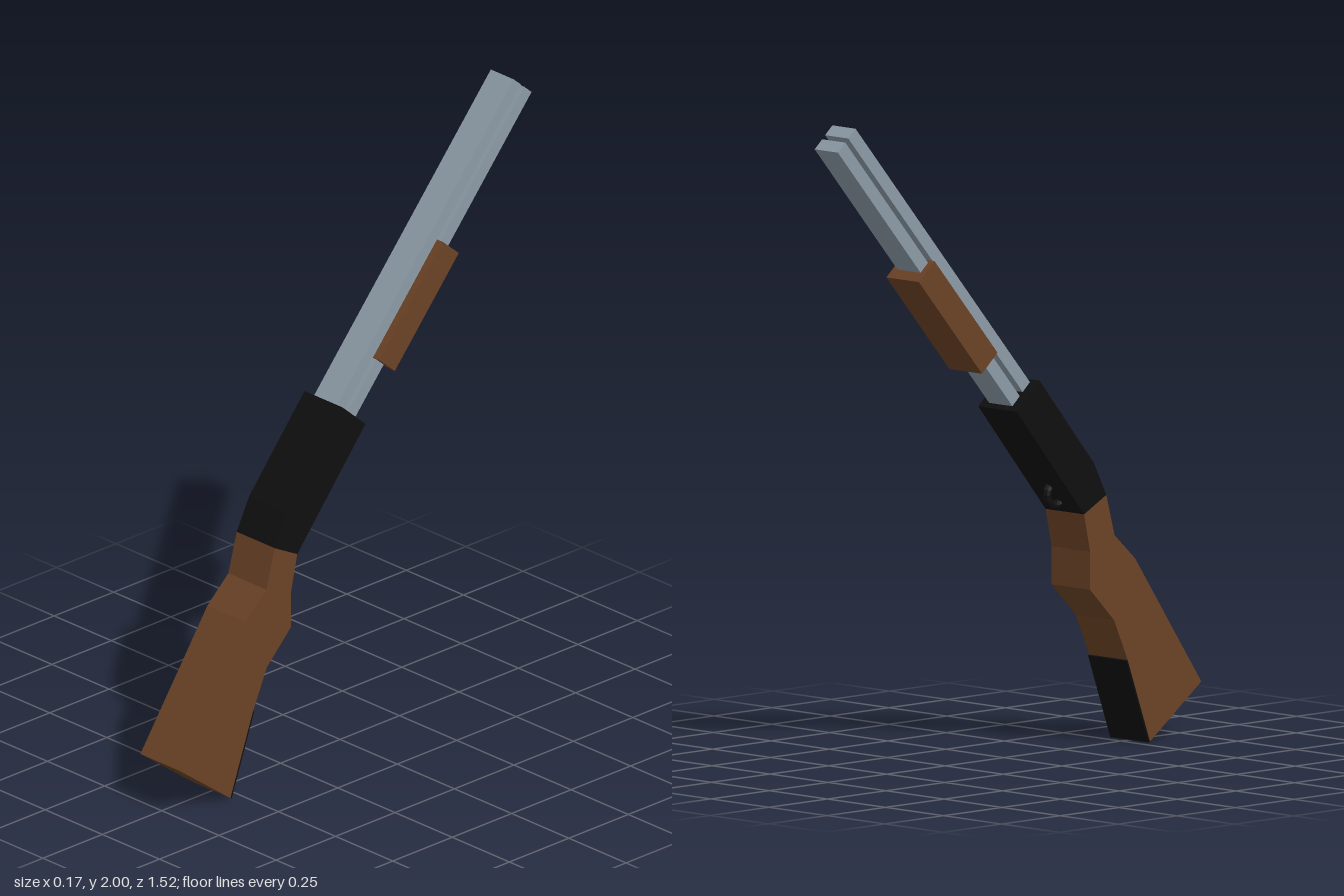
import * as THREE from 'three';

const walnut = new THREE.MeshStandardMaterial({ color: 0x6b4226, name: 'walnut', flatShading: true });
const steel = new THREE.MeshStandardMaterial({ color: 0x8c9aa6, name: 'steel', flatShading: true });
const black = new THREE.MeshStandardMaterial({ color: 0x0f0f0f, name: 'black', flatShading: true });

// Extrudes a side profile of [z, y] points across x, centred on x = 0.
function slab(name, points, width, material) {
  const shape = new THREE.Shape(points.map(([z, y]) => new THREE.Vector2(z, y)));
  const geometry = new THREE.ExtrudeGeometry(shape, { depth: width, bevelEnabled: false });
  geometry.translate(0, 0, -width / 2).rotateY(-Math.PI / 2);
  const mesh = new THREE.Mesh(geometry, material);
  mesh.name = name;
  return mesh;
}

// Side profile of a straight bar parallel to the barrels. Distances run back
// from the muzzle (along) and down from the top edge (below).
const muzzle = [-0.682, 2];
const axis = [0.658, -0.753];
const down = [-0.753, -0.658];
function bar(name, along, below, width, material) {
  const at = (a, b) => [0, 1].map((i) => muzzle[i] + axis[i] * a + down[i] * b);
  const [a0, a1] = along;
  const [b0, b1] = below;
  return slab(name, [at(a0, b0), at(a1, b0), at(a1, b1), at(a0, b1)], width, material);
}

export function createModel() {
  const group = new THREE.Group();
  group.name = 'shotgun';

  // Stock with a bent grip
  group.add(slab('stock', [
    [0.76, 0.165], [0.541, 0.003], [0.446, 0.262], [0.388, 0.39], [0.286, 0.493],
    [0.286, 0.61], [0.26, 0.727], [0.355, 0.777], [0.39, 0.65], [0.478, 0.57],
  ], 0.166, walnut));

  // Dark plate under the toe of the stock
  group.add(slab('toePlate', [
    [0.541, 0.003], [0.446, 0.262], [0.441, 0.26], [0.536, 0],
  ], 0.166, black));

  // Receiver
  group.add(slab('receiver', [
    [0.355, 0.777], [0.26, 0.727], [-0.027, 1.07], [0.07, 1.156], [0.302, 0.88],
  ], 0.166, black));

  // Trigger guard ring
  const guard = new THREE.Mesh(new THREE.TorusGeometry(0.034, 0.014, 8, 16), black);
  guard.name = 'triggerGuard';
  guard.rotation.y = Math.PI / 2;
  guard.position.set(0, 0.785, 0.217);
  group.add(guard);

  // Barrel, magazine tube below it, and sliding fore-end
  group.add(bar('barrel', [0, 1.16], [0, 0.041], 0.1, steel));
  group.add(bar('magazineTube', [0, 1.16], [0.058, 0.1], 0.1, steel));
  group.add(bar('foreEnd', [0.536, 0.945], [0.048, 0.136], 0.14, walnut));

  return group;
}
